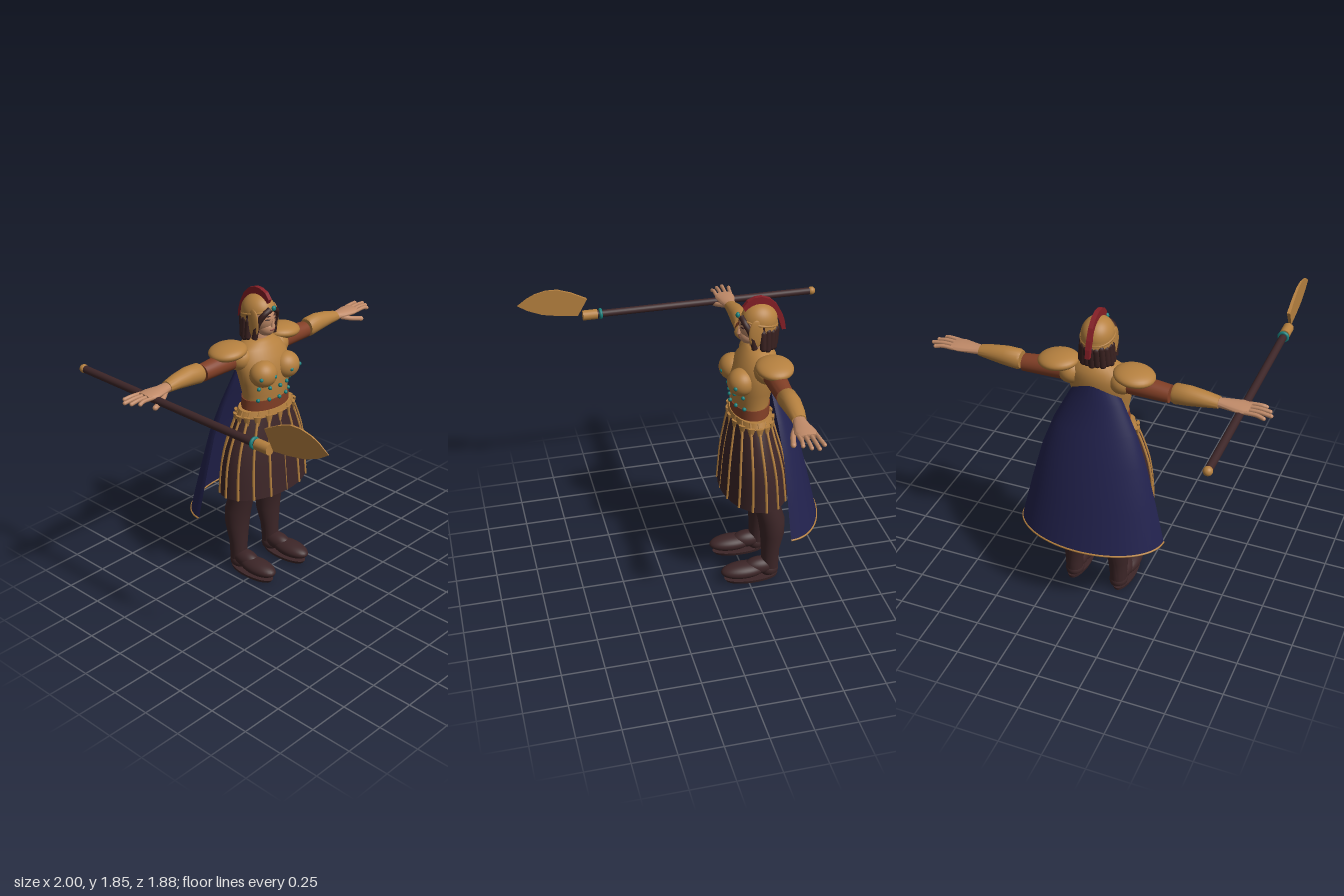
import * as THREE from 'three';
import { toCreasedNormals } from 'three/addons/utils/BufferGeometryUtils.js';

const mat = (name, color, side = THREE.FrontSide) => new THREE.MeshStandardMaterial({ name, color, side });
const M = {
  gold: mat('gold', 0xb5803f), dark: mat('dark leather', 0x3d2628, THREE.DoubleSide),
  navy: mat('navy cloth', 0x22224e, THREE.DoubleSide), red: mat('crest red', 0x861f26),
  rust: mat('rust cloth', 0x823f26, THREE.DoubleSide), skin: mat('skin', 0xc08a68),
  teal: mat('teal', 0x187f7c), hair: mat('hair', 0x38201f), lip: mat('lips', 0x8f5046),
};

function add(parent, name, geo, material, pos = [0, 0, 0], scale = [1, 1, 1], rot = [0, 0, 0]) {
  const m = new THREE.Mesh(geo, material);
  m.name = name;
  m.position.set(...pos);
  m.scale.set(...scale);
  m.rotation.set(...rot);
  parent.add(m);
  return m;
}
const ball = new THREE.SphereGeometry(1, 32, 20);

// Surface through elliptical sections [t, radiusA, radiusB, centreA, centreB] along y or x
function loft(sections, { axis = 'y', cap = true, n = 40, from = 0, sweep = Math.PI * 2 } = {}) {
  const s = [...sections];
  if (cap) {
    const point = ([t, , , a, b]) => [t, 0.0005, 0.0005, a, b];
    s.unshift(point(s[0]));
    s.push(point(s[s.length - 1]));
  }
  const pos = [], idx = [];
  for (const [t, ra, rb, a, b] of s) {
    for (let i = 0; i <= n; i++) {
      const w = from + sweep * i / n, p = a + ra * Math.cos(w), q = b + rb * Math.sin(w);
      pos.push(...(axis === 'y' ? [p, t, q] : [t, p, q]));
    }
  }
  for (let j = 0; j < s.length - 1; j++) {
    for (let i = 0; i < n; i++) {
      const a = j * (n + 1) + i, b = a + 1, c = a + n + 1, d = c + 1;
      idx.push(...(axis === 'y' ? [a, c, b, b, c, d] : [a, b, c, b, d, c]));
    }
  }
  const g = new THREE.BufferGeometry();
  g.setAttribute('position', new THREE.Float32BufferAttribute(pos, 3));
  g.setIndex(idx);
  return toCreasedNormals(g, 0.9);
}

// Flat outline of [z, y] points, given a thickness along x
function plate(points, width) {
  const shape = new THREE.Shape(points.map(p => new THREE.Vector2(...p)));
  const g = new THREE.ExtrudeGeometry(shape, { depth: width, bevelEnabled: false });
  return g.translate(0, 0, -width / 2).rotateY(-Math.PI / 2);
}
const tube = (pts, r, n = 20) =>
  new THREE.TubeGeometry(new THREE.CatmullRomCurve3(pts.map(p => new THREE.Vector3(...p))), n, r, 8);

function torso(g) {
  add(g, 'cuirass', loft([
    [1.18, .155, .105, 0, -.285], [1.23, .158, .11, 0, -.285], [1.3, .172, .12, 0, -.288],
    [1.38, .185, .128, 0, -.3], [1.45, .18, .12, 0, -.318], [1.5, .15, .098, 0, -.328],
    [1.53, .1, .075, 0, -.33], [1.545, .06, .055, 0, -.33]]), M.gold);
  add(g, 'belt', loft([[1.1, .17, .108, 0, -.285], [1.2, .162, .113, 0, -.285]]), M.rust);
  for (const s of [-1, 1]) add(g, 'breastplate', ball, M.gold, [s * .095, 1.37, -.205], [.085, .08, .08]);
  // Studs in three rows
  const rows = [[1.365, [.07, .16], -.13], [1.28, [0, .07, .128], -.16], [1.205, [0, .07, .128], -.168]];
  for (const [y, xs, z] of rows) for (const x of xs) for (const s of x ? [-1, 1] : [1])
    add(g, 'stud', ball, M.teal, [s * x, y, z - x * x * (y > 1.3 ? 1 : 3)], [.012, .012, .012]);
}

const SKIRT = [[1.135, .185, .11, 0, -.285], [1.08, .215, .122, 0, -.288], [1, .25, .14, 0, -.292],
  [.9, .285, .163, 0, -.299], [.8, .305, .18, 0, -.305], [.7, .315, .19, 0, -.308], [.6, .32, .2, 0, -.31]].reverse();

function skirt(g) {
  add(g, 'skirt', loft(SKIRT, { cap: false, n: 64 }), M.dark);
  add(g, 'skirtLining', loft(SKIRT.map(([y, a, b, c, d]) => [y + .002, a - .01, b - .01, c, d]), { cap: false }), M.rust);
  add(g, 'waistband', loft([[1.1, .209, .122, 0, -.287], [1.138, .191, .114, 0, -.285]]), M.gold);
  for (let k = 0; k < 16; k++) {
    const w = k * Math.PI / 8, c = Math.cos(w), s = Math.sin(w);
    const front = k === 4;
    const pts = SKIRT.map(([y, a, b, , z]) => [c * (a + .001), y, z + s * (b + .001)]);
    add(g, 'skirtTrim', tube(pts, front ? .003 : .008, 24), M.gold);
    add(g, 'waistTab', new THREE.CylinderGeometry(.024, .008, .06, 8), M.gold,
      [c * .217, 1.083, -.288 + s * .126], [1, 1, .4], [0, Math.PI / 2 - w, 0]);
  }
}

function cape(g) {
  const rows = [[.46, .435, .26, 0, -.43], [.72, .375, .21, 0, -.417], [.97, .31, .16, 0, -.405],
    [1.15, .245, .12, 0, -.385], [1.32, .16, .085, 0, -.365], [1.47, .075, .068, 0, -.36]];
  const half = { cap: false, from: Math.PI, sweep: Math.PI };
  add(g, 'cape', loft(rows, half), M.navy);
  const hem = [];
  for (let i = 0; i <= 16; i++) {
    const w = Math.PI * (1 + i / 16);
    hem.push([.435 * Math.cos(w), .46, -.43 + .26 * Math.sin(w)]);
  }
  add(g, 'capeHem', tube(hem, .006, 40), M.gold);
}

function arm(g) {
  const x = { axis: 'x', n: 28 };
  add(g, 'pauldron', ball, M.gold, [.222, 1.508, -.36], [.118, .045, .108], [0, 0, -.08]);
  add(g, 'shoulderCap', ball, M.gold, [.15, 1.45, -.345], [.08, .075, .085]);
  add(g, 'sleeve', loft([[.13, .06, .06, 1.45, -.355], [.3, .056, .058, 1.447, -.36], [.43, .05, .052, 1.44, -.362]], x), M.rust);
  add(g, 'bracer', loft([[.445, .05, .05, 1.45, -.36], [.46, .06, .055, 1.45, -.36], [.54, .056, .055, 1.456, -.362],
    [.63, .043, .048, 1.455, -.36], [.7, .031, .04, 1.45, -.355]], x), M.gold);
  add(g, 'hand', loft([[.69, .025, .033, 1.45, -.355], [.75, .024, .045, 1.448, -.35], [.82, .022, .06, 1.45, -.35],
    [.87, .015, .056, 1.45, -.352]], x), M.skin);
  // Fingers run from the front edge of the palm to the back
  [.955, .985, 1, .97].forEach((tip, i) => {
    const z = -.305 - i * .031;
    add(g, 'finger', tube([[.85, 1.45, z], [.92, 1.453, z - .002 * (i - 1)], [tip - .012, 1.447, z - .006 * (i - 1)]], .0115), M.skin);
    add(g, 'fingertip', ball, M.skin, [tip - .012, 1.447, z - .006 * (i - 1)], [.012, .0115, .0115]);
  });
  add(g, 'thumb', tube([[.73, 1.44, -.33], [.79, 1.422, -.295], [.86, 1.405, -.275]], .015), M.skin);
  add(g, 'thumbTip', ball, M.skin, [.86, 1.405, -.275], [.016, .015, .015]);
}

function leg(g) {
  add(g, 'legging', loft([[.03, .05, .05, .142, -.395], [.12, .052, .055, .142, -.395], [.2, .06, .056, .14, -.395],
    [.32, .078, .073, .137, -.405], [.42, .083, .082, .134, -.398], [.52, .077, .08, .128, -.37],
    [.6, .078, .085, .125, -.355], [.78, .09, .09, .12, -.33]]), M.dark);
  add(g, 'shoe', ball, M.dark, [.148, .07, -.225], [.07, .048, .14]);
  add(g, 'instep', ball, M.dark, [.143, .085, -.33], [.056, .055, .1]);
  add(g, 'heel', ball, M.dark, [.142, .055, -.39], [.055, .05, .06]);
  add(g, 'sole', loft([[0, .058, .16, .147, -.28], [.02, .064, .17, .147, -.275]]), M.dark);
}

function head(g) {
  add(g, 'neck', new THREE.CylinderGeometry(.048, .055, .12, 24), M.skin, [0, 1.56, -.33]);
  add(g, 'face', ball, M.skin, [0, 1.672, -.31], [.074, .1, .095]);
  add(g, 'jaw', ball, M.skin, [0, 1.615, -.275], [.05, .052, .06]);
  add(g, 'nose', new THREE.ConeGeometry(.014, .05, 8), M.skin, [0, 1.657, -.213]);
  add(g, 'mouth', ball, M.lip, [0, 1.612, -.217], [.02, .006, .005]);
  for (const s of [-1, 1]) {
    add(g, 'eye', ball, M.hair, [s * .031, 1.677, -.225], [.017, .004, .005], [0, s * .35, 0]);
    add(g, 'eyebrow', ball, M.hair, [s * .031, 1.698, -.225], [.02, .004, .005], [0, s * .35, s * .1]);
    add(g, 'frontLock', tube([[s * .01, 1.735, -.225], [s * .05, 1.71, -.235], [s * .073, 1.65, -.265], [s * .08, 1.56, -.285]], .018), M.hair);
    add(g, 'cheekGuard', ball, M.gold, [s * .083, 1.655, -.29], [.012, .085, .042]);
  }
  // Hair hangs in locks round the sides and back
  add(g, 'hair', loft([[1.57, .085, .07, 0, -.36], [1.66, .082, .08, 0, -.35], [1.74, .08, .09, 0, -.335]]), M.hair);
  for (let i = 0; i <= 10; i++) {
    const w = Math.PI * (.95 + 1.1 * i / 10), c = Math.cos(w), s = Math.sin(w);
    add(g, 'hairLock', new THREE.CapsuleGeometry(.02, .09 + .015 * (i % 2), 4, 10), M.hair,
      [c * .083, 1.607, -.345 + s * .078], [1, 1, 1], [-s * -.1, 0, c * .1]);
  }
  // Helmet bowl, tilted up at the brow
  add(g, 'helmet', new THREE.SphereGeometry(1, 40, 20, 0, Math.PI * 2, 0, 1.62), mat('gold', 0xb5803f, THREE.DoubleSide),
    [0, 1.705, -.33], [.092, .1, .105], [-.22, 0, 0]);
  g.children[g.children.length - 1].material = M.gold;
  add(g, 'helmetRim', new THREE.TorusGeometry(1, .07, 8, 48), M.gold, [0, 1.702, -.33], [.091, .104, .1], [Math.PI / 2 - .22, 0, 0]);
  add(g, 'neckGuard', loft([[1.645, .09, .095, 0, -.345], [1.7, .092, .1, 0, -.335]],
    { cap: false, from: Math.PI, sweep: Math.PI }), M.gold);
  add(g, 'browGem', ball, M.teal, [0, 1.745, -.205], [.014, .016, .012]);
  add(g, 'crest', plate([[-.232, 1.79], [-.26, 1.825], [-.3, 1.843], [-.34, 1.846], [-.39, 1.828], [-.43, 1.79],
    [-.462, 1.73], [-.478, 1.68], [-.485, 1.63], [-.462, 1.63], [-.445, 1.69], [-.415, 1.745], [-.37, 1.785],
    [-.32, 1.797], [-.27, 1.785], [-.245, 1.765]], .026), M.red);
}

function polearm(g) {
  const alongZ = [Math.PI / 2, 0, 0];
  add(g, 'shaft', new THREE.CylinderGeometry(.022, .022, 1.37, 20), M.dark, [0, 0, -.225], [1, 1, 1], alongZ);
  add(g, 'pommel', ball, M.gold, [0, 0, -.915], [.026, .026, .026]);
  add(g, 'ring', new THREE.TorusGeometry(.025, .01, 10, 28), M.teal, [0, 0, .435]);
  add(g, 'socket', new THREE.CylinderGeometry(.031, .031, .09, 24), M.gold, [0, 0, .5], [1, 1, 1], alongZ);
  const blade = plate([[.515, .11], [.575, .005], [.68, .015], [.79, .035], [.88, .072], [.937, .11],
    [.88, .15], [.83, .174], [.76, .19], [.69, .188], [.61, .16]], .018);
  // Thin the blade towards its tip
  const p = blade.attributes.position;
  for (let i = 0; i < p.count; i++) p.setX(i, p.getX(i) * (1.1 - (p.getZ(i) - .515) * 2));
  blade.computeVertexNormals();
  add(g, 'blade', blade, M.gold);
}

export function createModel() {
  const model = new THREE.Group();
  model.name = 'armouredWarrior';
  const part = (name, build) => {
    const g = new THREE.Group();
    g.name = name;
    build(g);
    model.add(g);
    return g;
  };
  part('torso', torso);
  part('skirtGroup', skirt);
  part('capeGroup', cape);
  part('head', head);
  part('leftArm', arm);
  part('rightArm', arm).scale.x = -1;
  part('leftLeg', leg);
  part('rightLeg', leg).scale.x = -1;
  part('polearm', polearm).position.set(-.825, 1.43, 0);
  return model;
}
